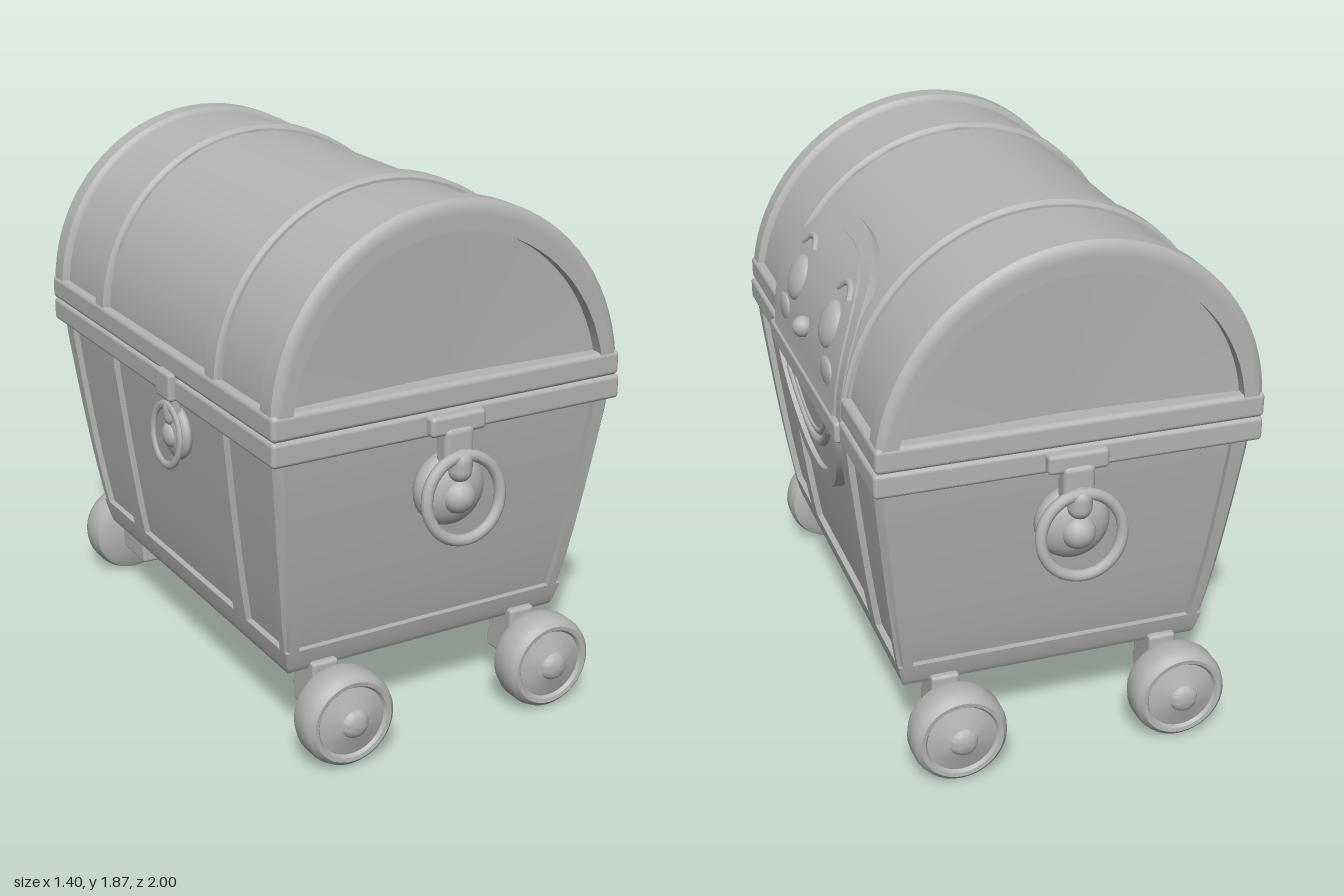
import * as THREE from 'three';
import { toCreasedNormals } from 'three/addons/utils/BufferGeometryUtils.js';
import { RoundedBoxGeometry } from 'three/addons/geometries/RoundedBoxGeometry.js';

const clay = new THREE.MeshStandardMaterial({ color: 0xb4b4b4 });
clay.name = 'grey clay';

const lerp = THREE.MathUtils.lerp;
const LID_Y = 1.2, LID_A = 0.63, LID_B = 0.64;

// Body half-width (x) and half-depth (z) at height y: a flared, bowed taper
const rise = (y) => THREE.MathUtils.clamp((y - 0.28) / 0.82, 0, 1);
const bodyW = (y) => 0.533 + 0.117 * Math.pow(rise(y), 0.75);
const bodyD = (y) => 0.722 + 0.15 * Math.pow(rise(y), 0.72);

// Point on the arched lid at angle t, raised by h; the arch leans slightly to -x
const lidPoint = (t, h, z) =>
  [(LID_A + h) * Math.cos(t) - 0.03 * Math.sin(t) - 0.008, LID_Y + (LID_B + h) * Math.sin(t), z];

// Point on the +x side of the chest (body below, lid above), raised by h
function sidePoint(y, z, h) {
  if (y < LID_Y) return [lerp(bodyW(y), LID_A - 0.008, Math.max(0, (y - 1.1) / 0.1)) + h, y, z];
  return lidPoint(Math.asin(Math.min(1, (y - LID_Y) / LID_B)), h, z);
}

function add(parent, name, geometry, x = 0, y = 0, z = 0) {
  const mesh = new THREE.Mesh(geometry, clay);
  mesh.name = name;
  mesh.position.set(x, y, z);
  parent.add(mesh);
  return mesh;
}

// Bend a unit box by a rule (u, v, w in 0..1), keeping its faces outward
function warp(segments, rule, crease = 0.6) {
  const geo = new THREE.BoxGeometry(1, 1, 1, ...segments);
  const p = geo.attributes.position;
  for (let i = 0; i < p.count; i++) {
    p.setXYZ(i, ...rule(p.getX(i) + 0.5, p.getY(i) + 0.5, p.getZ(i) + 0.5));
  }
  const index = geo.index.array;
  const [a, b, c] = [0, 1, 2].map(() => new THREE.Vector3());
  let volume = 0;
  for (let i = 0; i < index.length; i += 3) {
    a.fromBufferAttribute(p, index[i]);
    b.fromBufferAttribute(p, index[i + 1]);
    c.fromBufferAttribute(p, index[i + 2]);
    volume += a.dot(b.cross(c));
  }
  if (volume < 0) {
    for (let i = 0; i < index.length; i += 3) {
      [index[i], index[i + 1]] = [index[i + 1], index[i]];
    }
  }
  return toCreasedNormals(geo, crease);
}

// Face outline: squarish dome above, half ellipse below
function faceOutline(angle, scale) {
  const c = Math.cos(angle), s = Math.sin(angle);
  const e = s > 0 ? 2 / 2.5 : 1;
  const z = 0.48 * Math.sign(c) * Math.pow(Math.abs(c), e);
  const y = (s > 0 ? 0.41 : 0.5) * Math.sign(s) * Math.pow(Math.abs(s), e);
  return [1.25 + y * scale, z * scale];
}

// Part of the face inside the frame, in rows between two outline angles
const facePanel = (angle0, angle1, height) => warp([16, 24, 1], (u, v, w) => {
  const [y, z] = faceOutline(lerp(angle0, angle1, v), 0.89);
  return sidePoint(y, lerp(-z, z, u), lerp(-0.04, height, w));
});

function drapedTube(points, h, radius) {
  const curve = new THREE.CatmullRomCurve3(
    points.map(([y, z]) => new THREE.Vector3(...sidePoint(y, z, h))));
  return new THREE.TubeGeometry(curve, 20, radius, 8);
}

// Hasp with a domed plate, a knob and a hanging ring; the wall is at local z = 0
function createLatch() {
  const g = new THREE.Group();
  add(g, 'latchTab', new RoundedBoxGeometry(0.21, 0.07, 0.08, 2, 0.015), 0, 1.14, 0.04);
  add(g, 'latchStrap', new RoundedBoxGeometry(0.11, 0.14, 0.07, 2, 0.02), 0, 1.06, 0.055);
  const plate = add(g, 'latchPlate', new THREE.SphereGeometry(0.13, 28, 16), 0, 0.9, 0.02);
  plate.scale.z = 0.6;
  add(g, 'latchStem', new THREE.CapsuleGeometry(0.042, 0.03, 5, 14), 0, 1.0, 0.085);
  add(g, 'latchKnob', new THREE.SphereGeometry(0.06, 18, 12), 0, 0.89, 0.075);
  const ring = add(g, 'latchRing', new THREE.TorusGeometry(0.142, 0.02, 10, 36), 0, 0.895, 0.113);
  ring.rotation.x = -0.12;
  return g;
}

function createWheel() {
  const profile = [[0, -0.07], [0.13, -0.07], [0.157, -0.055], [0.168, -0.025], [0.168, 0.03],
    [0.16, 0.055], [0.145, 0.068], [0.13, 0.066], [0.122, 0.055], [0.05, 0.078],
    [0.043, 0.09], [0.028, 0.098], [0, 0.1]].map(([r, y]) => new THREE.Vector2(r, y));
  return toCreasedNormals(new THREE.LatheGeometry(profile, 36).rotateX(Math.PI / 2), 0.6);
}

export function createModel() {
  const model = new THREE.Group();
  model.name = 'treasureChest';

  // Recessed body panels and the solid bottom rim
  const taperedBox = (y0, y1, inset) => warp([1, 10, 1], (u, v, w) => {
    const y = lerp(y0, y1, v);
    return [(u * 2 - 1) * (bodyW(y) - inset), y, (w * 2 - 1) * (bodyD(y) - inset)];
  });
  add(model, 'body', taperedBox(0.3, 1.12, 0.022));
  add(model, 'bottomRim', taperedBox(0.28, 0.37, 0));

  for (const sx of [-1, 1]) {
    for (const sz of [-1, 1]) {
      // Corner posts with a softened outer edge
      add(model, 'cornerPost', warp([3, 10, 3], (u, v, w) => {
        const y = lerp(0.365, 1.12, v), cut = u > 0.99 && w > 0.99 ? 0.012 : 0;
        return [sx * (bodyW(y) - lerp(0.05, 0.075, v) * (1 - u) - cut), y,
          sz * (bodyD(y) - lerp(0.045, 0.095, v) * (1 - w) - cut)];
      }, 0.5));
      // Upright straps on the long sides
      add(model, 'sideStrap', warp([1, 10, 1], (u, v, w) => {
        const y = lerp(0.365, 1.12, v);
        return [sx * (bodyW(y) - 0.05 * (1 - u)), y, sz * lerp(lerp(0.37, 0.395, v), lerp(0.465, 0.5, v), w)];
      }));
    }
  }

  // Belts where body and lid meet
  add(model, 'lowerBelt', new RoundedBoxGeometry(1.335, 0.085, 1.785, 3, 0.015), -0.006, 1.14, 0);
  add(model, 'upperBelt', new RoundedBoxGeometry(1.33, 0.088, 1.79, 3, 0.018), -0.01, 1.227, 0);

  // Arched lid with slightly dished ends
  add(model, 'lid', warp([40, 3, 1], (u, v, w) => {
    const r = lerp(0.02, 1, v);
    const [x, y] = lidPoint(Math.PI * u, 0.01, 0);
    return [x * r, LID_Y + (y - LID_Y) * r, (w * 2 - 1) * (0.815 + 0.035 * r)];
  }));

  // Lid hoops: deep ones at the ends, shallow ones between
  for (const sz of [-1, 1]) {
    for (const [name, z0, z1, low] of [['endHoop', 0.785, 0.892, -0.07], ['innerHoop', 0.4, 0.5, -0.02]]) {
      add(model, name, warp([40, 4, 6], (u, v, w) => {
        const t = Math.PI * u;
        const cut = v > 0.99 && (w < 0.01 || w > 0.99) ? 0.01 : 0;
        const inner = low * (0.5 + 0.5 * Math.sin(t));
        const z = lerp(z0, z1, w) + (w > 0.5 ? -cut : cut);
        return lidPoint(t, lerp(inner, 0.032, v) - cut, sz * z);
      }, 0.9));
    }
  }

  // Face on the +x side, draped over lid and body
  const face = new THREE.Group();
  face.name = 'face';
  model.add(face);
  add(face, 'faceFrame', warp([80, 2, 1], (u, v, w) => {
    const [y, z] = faceOutline(u * Math.PI * 2, lerp(0.87, 1, v));
    return sidePoint(y, z, lerp(-0.03, lerp(0.022, 0.038, THREE.MathUtils.smoothstep(y, 1.1, 1.25)), w));
  }));
  add(face, 'upperFace', facePanel(-0.16, Math.PI / 2, 0.046));
  add(face, 'mouth', facePanel(-Math.PI / 2, -0.2, 0.004));
  add(face, 'faceBelt', new RoundedBoxGeometry(0.08, 0.075, 0.95, 3, 0.012), 0.639, 1.137, 0);
  const lip = (mid, end, width) => [-1, -0.75, -0.4, 0, 0.4, 0.75, 1].map((k) =>
    [lerp(mid, end, k * k), k * width]);
  add(face, 'smile', drapedTube(lip(0.91, 1.06, 0.28), 0.004, 0.018));
  add(face, 'lowerLip', drapedTube(lip(0.945, 1.07, 0.23), 0, 0.013));
  add(face, 'nose', new THREE.SphereGeometry(0.038, 18, 12), 0.662, 1.33, 0);
  for (const s of [-1, 1]) {
    const eye = add(face, 'eye', new THREE.SphereGeometry(0.084, 24, 16), ...sidePoint(1.41, s * 0.225, 0.04));
    eye.scale.x = 0.4;
    eye.rotation.z = 0.35;
    const cheek = add(face, 'cheek', new THREE.SphereGeometry(0.075, 20, 12), ...sidePoint(1.28, s * 0.3, 0.04));
    cheek.scale.set(0.22, 0.7, 1);
    add(face, 'eyebrow', drapedTube([[1.51, s * 0.17], [1.54, s * 0.22], [1.535, s * 0.27], [1.505, s * 0.31]], 0.046, 0.014));
  }

  // Ends: latch, and two wheels on brackets
  const wheel = createWheel();
  for (const sz of [-1, 1]) {
    const end = new THREE.Group();
    end.name = sz > 0 ? 'frontEnd' : 'backEnd';
    const latch = createLatch();
    latch.position.set(-0.01 * sz, 0, 0.848);
    latch.name = 'endLatch';
    end.add(latch);
    for (const sx of [-1, 1]) {
      const x = sx * 0.4 - 0.008 * sz;
      add(end, 'wheel', wheel, x, 0.17, 0.875);
      add(end, 'wheelLeg', new RoundedBoxGeometry(0.1, 0.19, 0.14, 2, 0.012), x, 0.215, 0.69);
      add(end, 'axleBlock', new RoundedBoxGeometry(0.1, 0.085, 0.22, 2, 0.012), x, 0.16, 0.725);
    }
    if (sz < 0) end.rotation.y = Math.PI;
    model.add(end);
  }

  // Small shallow latch on the side opposite the face
  const sideLatch = createLatch();
  sideLatch.name = 'sideLatch';
  sideLatch.rotation.y = -Math.PI / 2;
  sideLatch.position.set(-0.635, 0.295, 0.14);
  sideLatch.scale.set(0.75, 0.75, 0.45);
  model.add(sideLatch);
  add(model, 'sideHasp', new RoundedBoxGeometry(0.06, 0.1, 0.11, 2, 0.012), -0.668, 1.15, 0.14);

  return model;
}
